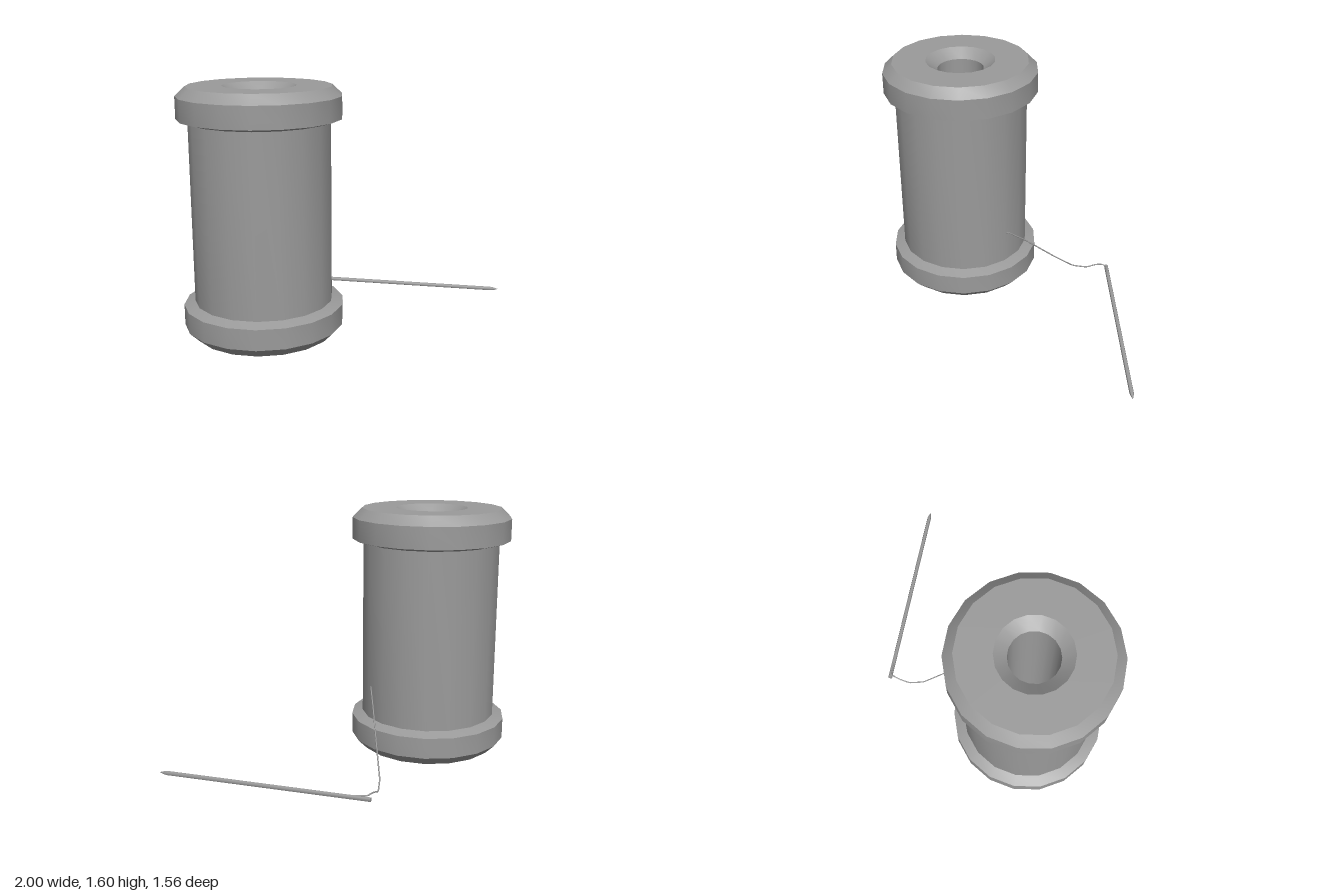
import * as THREE from 'three';
import { toCreasedNormals } from 'three/addons/utils/BufferGeometryUtils.js';

const material = new THREE.MeshStandardMaterial({ color: 0x9a9a9a });

// Solid of revolution: smooth around, sharp at the profile's corners
function turned(name, profile, sides, crease) {
  const points = profile.map(([r, y]) => new THREE.Vector2(r, y));
  const lathe = new THREE.LatheGeometry(points, sides, Math.PI / 2);
  const mesh = new THREE.Mesh(toCreasedNormals(lathe, crease), material);
  mesh.name = name;
  return mesh;
}

export function createModel() {
  const group = new THREE.Group();
  group.name = 'spoolAndNeedle';

  // Spool: bevelled flanges, straight barrel and a countersunk through-hole
  const spool = turned('spool', [
    [0.23, 0.016], [0.451, 0.016], [0.513, 0.078], [0.513, 0.212], [0.442, 0.236],
    [0.442, 1.386], [0.513, 1.406], [0.513, 1.545], [0.451, 1.604], [0.23, 1.604],
    [0.153, 1.545], [0.153, 0.078], [0.23, 0.016],
  ], 18, 0.5);
  spool.position.set(-0.487, 0, 0.272);
  group.add(spool);

  // Needle lying on its side, pointing to +x
  const needle = turned('needle', [
    [0, -0.37], [0.014, -0.37], [0.014, 0.945], [0.011, 0.965], [0, 1],
  ], 8, 0.9);
  needle.rotation.z = -Math.PI / 2;
  needle.position.set(0, 0.016, -0.767);
  group.add(needle);

  // Loose thread from the barrel down to the ground and onto the needle
  const path = new THREE.CatmullRomCurve3([
    [-0.165, 0.457, -0.02], [-0.175, 0.445, -0.05], [-0.217, 0.36, -0.155],
    [-0.262, 0.253, -0.27], [-0.307, 0.146, -0.385], [-0.358, 0.035, -0.517],
    [-0.376, 0.005, -0.622], [-0.371, 0.03, -0.69], [-0.36, 0.039, -0.735],
    [-0.345, 0.034, -0.76], [-0.26, 0.027, -0.765],
  ].map((p) => new THREE.Vector3(...p)), false, 'catmullrom', 0.1);
  const thread = new THREE.Mesh(new THREE.TubeGeometry(path, 64, 0.0045, 6), material);
  thread.name = 'thread';
  group.add(thread);

  return group;
}
